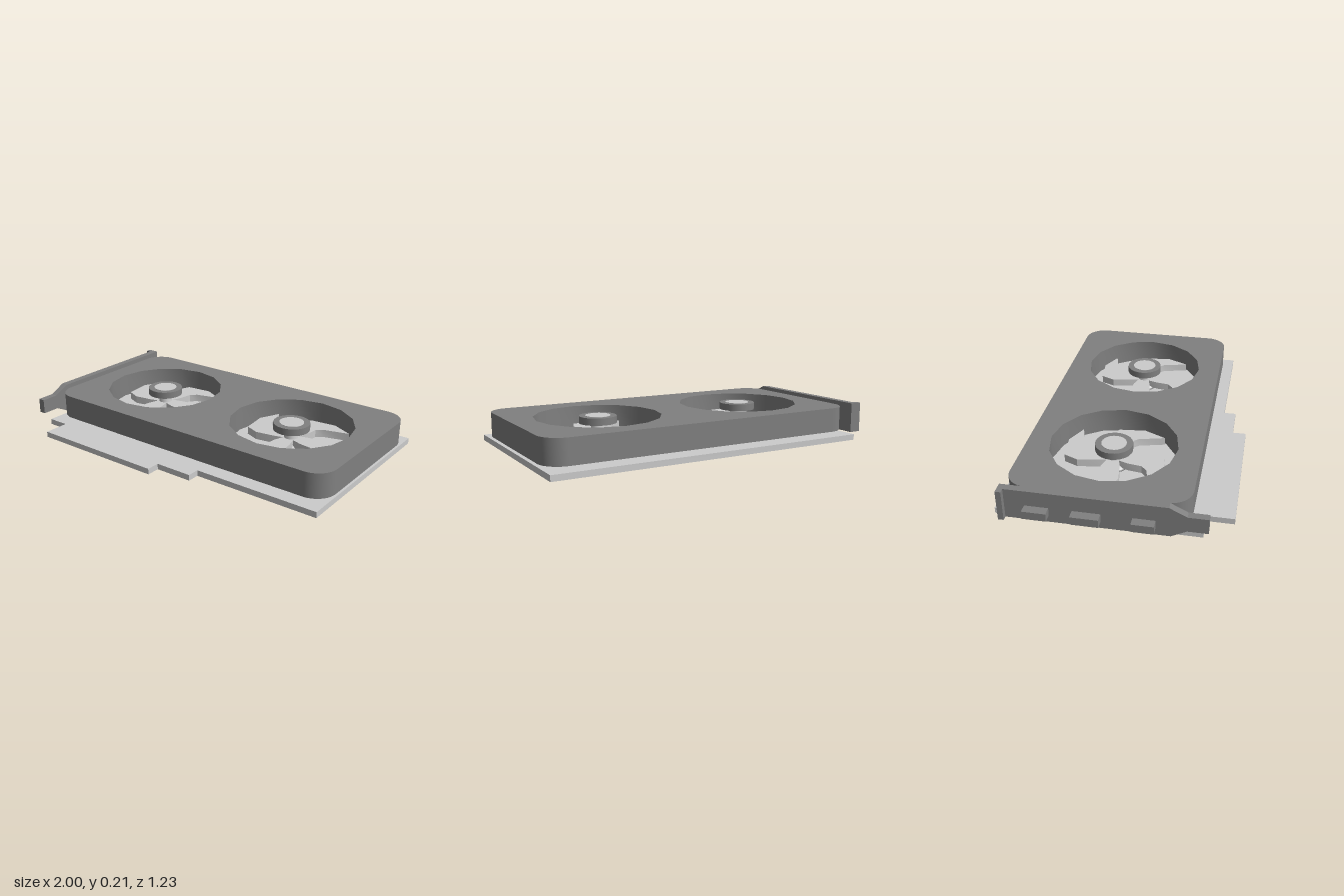
import * as THREE from 'three';
import { toCreasedNormals } from 'three/addons/utils/BufferGeometryUtils.js';

const light = new THREE.MeshStandardMaterial({ color: 0xcccccc });
const dark = new THREE.MeshStandardMaterial({ color: 0x808080 });

function add(parent, name, geometry, material, x = 0, y = 0, z = 0) {
  const mesh = new THREE.Mesh(geometry, material);
  mesh.name = name;
  mesh.position.set(x, y, z);
  parent.add(mesh);
  return mesh;
}

// Outline given as [x, z] pairs on the ground plane
const outline = (points) => new THREE.Shape(points.map(([x, z]) => new THREE.Vector2(x, -z)));

// Slab standing on y = 0, raised by its height
function slab(shape, height, curveSegments = 8) {
  const geometry = new THREE.ExtrudeGeometry(shape, { depth: height, bevelEnabled: false, curveSegments });
  geometry.rotateX(-Math.PI / 2);
  return toCreasedNormals(geometry, 0.5);
}

function roundedRect(x0, x1, z0, z1, r) {
  const s = new THREE.Shape();
  const b = -z1, t = -z0, q = Math.PI / 2;
  s.absarc(x1 - r, b + r, r, -q, 0);
  s.absarc(x1 - r, t - r, r, 0, q);
  s.absarc(x0 + r, t - r, r, q, 2 * q);
  s.absarc(x0 + r, b + r, r, 2 * q, 3 * q);
  s.closePath();
  return s;
}

// Fan with a capped hub on a slim column and four swept blades
function createFan() {
  const fan = new THREE.Group();
  fan.name = 'fan';
  const column = [[0, 0.045], [0.075, 0.045], [0.07, 0.055], [0.04, 0.075], [0.04, 0.16]]
    .map(([r, y]) => new THREE.Vector2(r, y));
  add(fan, 'hubColumn', new THREE.LatheGeometry(column, 24), light);
  add(fan, 'hubCap', new THREE.CylinderGeometry(0.105, 0.105, 0.04, 24), dark, 0, 0.17, 0);
  add(fan, 'hubDisc', new THREE.CylinderGeometry(0.07, 0.07, 0.01, 24), light, 0, 0.187, 0);
  const blade = slab(outline([
    [-0.03, -0.02], [0.03, -0.02], [0.053, -0.09], [0.064, -0.165], [0.1, -0.197],
    [0.245, -0.235], [0.123, -0.293], [-0.03, -0.277], [-0.064, -0.197], [-0.048, -0.09],
  ]), 0.045);
  for (let i = 0; i < 4; i++) {
    add(fan, 'blade', blade, light, 0, 0.055, 0).rotation.y = i * Math.PI / 2;
  }
  return fan;
}

export function createModel() {
  const model = new THREE.Group();
  model.name = 'graphicsCard';

  // Circuit board with stepped edge connector
  add(model, 'circuitBoard', slab(outline([
    [-0.89, -0.615], [1, -0.615], [1, 0.465], [0.27, 0.465], [0.27, 0.535],
    [0.05, 0.535], [0.05, 0.612], [-0.76, 0.612], [-0.76, 0.465], [-0.89, 0.465],
  ]), 0.033), light);

  // Cooler shroud with a round opening for each fan
  const fanX = [-0.42, 0.515], fanZ = -0.085;
  const shroud = roundedRect(-0.89, 1, -0.56, 0.4, 0.12);
  for (const x of fanX) {
    const hole = new THREE.Path();
    for (let i = 0; i < 16; i++) {
      const a = i * Math.PI / 8;
      const px = x + 0.355 * Math.cos(a), py = -fanZ + 0.355 * Math.sin(a);
      if (i) hole.lineTo(px, py); else hole.moveTo(px, py);
    }
    hole.closePath();
    shroud.holes.push(hole);
  }
  add(model, 'shroud', slab(shroud, 0.14), dark, 0, 0.05, 0);

  for (const x of fanX) {
    const fan = createFan();
    fan.position.set(x, 0, fanZ);
    model.add(fan);
  }

  // Mounting bracket, its profile drawn in z and y and extruded along x
  const bracket = new THREE.Group();
  bracket.name = 'mountingBracket';
  const profile = new THREE.Shape([
    [-0.565, 0.035], [0.31, 0.035], [0.39, 0.077], [0.495, 0.077],
    [0.495, 0.163], [0.39, 0.163], [0.3, 0.208], [-0.565, 0.208],
  ].map(([z, y]) => new THREE.Vector2(-z, y)));
  const plate = new THREE.ExtrudeGeometry(profile, { depth: 0.04, bevelEnabled: false });
  plate.rotateY(Math.PI / 2);
  add(bracket, 'bracketPlate', plate, dark, -0.95, 0, 0);
  add(bracket, 'bracketFlange', new THREE.BoxGeometry(0.03, 0.173, 0.03), dark, -0.963, 0.1215, -0.55);

  // Display ports
  for (const [z0, z1] of [[-0.43, -0.305], [-0.185, -0.04], [0.12, 0.235]]) {
    add(bracket, 'port', new THREE.BoxGeometry(0.06, 0.045, z1 - z0), dark, -0.97, 0.098, (z0 + z1) / 2);
  }
  model.add(bracket);
  return model;
}
